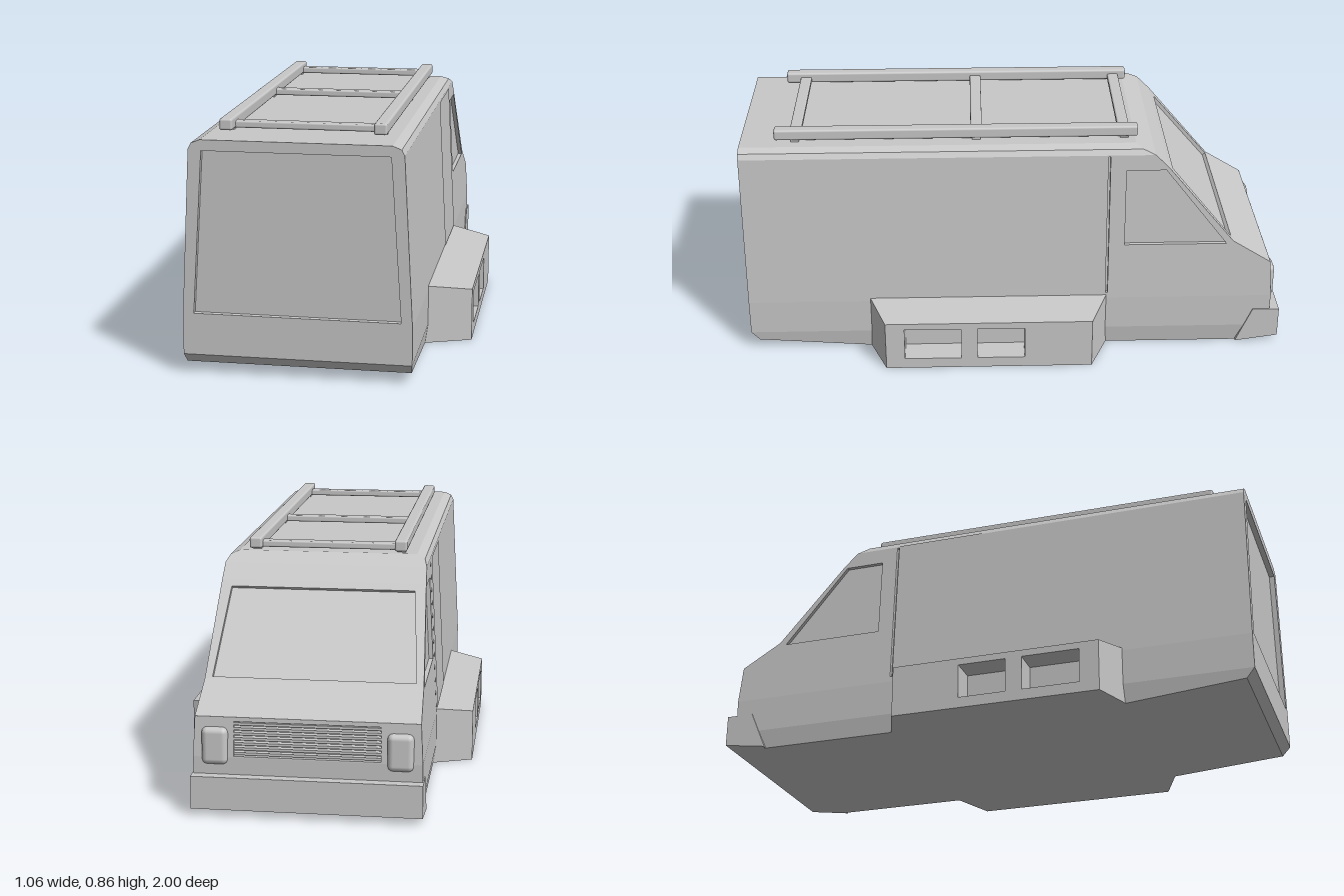
import * as THREE from 'three';
import { mergeGeometries } from 'three/addons/utils/BufferGeometryUtils.js';
import { RoundedBoxGeometry } from 'three/addons/geometries/RoundedBoxGeometry.js';

const V = (x, y, z) => new THREE.Vector3(x, y, z);

// Faceted surface from quads of corner vectors
function quads(list) {
  const pts = [];
  for (const [a, b, c, d] of list) pts.push(a, b, c, a, c, d);
  const g = new THREE.BufferGeometry().setFromPoints(pts);
  g.computeVertexNormals();
  return g;
}

// Flat outline mapped into space, with recessed holes (walls and floor)
function panel(outline, holes, depth, map) {
  const to2 = p => p.map(([u, v]) => new THREE.Vector2(u, v));
  const place = (shape, d) => {
    const g = new THREE.ShapeGeometry(shape).toNonIndexed();
    const p = g.attributes.position;
    for (let i = 0; i < p.count; i++) {
      const q = map(p.getX(i), p.getY(i), d);
      p.setXYZ(i, q.x, q.y, q.z);
    }
    g.deleteAttribute('uv');
    g.computeVertexNormals();
    return g;
  };
  const face = new THREE.Shape(to2(outline));
  const parts = [];
  for (const h of holes) {
    face.holes.push(new THREE.Path(to2(h)));
    parts.push(place(new THREE.Shape(to2(h)), depth));
    parts.push(quads(h.map((a, i) => {
      const b = h[(i + 1) % h.length];
      return [map(...a, 0), map(...b, 0), map(...b, depth), map(...a, depth)];
    })));
  }
  parts.push(place(face, 0));
  return mergeGeometries(parts);
}

const rect = (u0, v0, u1, v1) => [[u0, v0], [u1, v0], [u1, v1], [u0, v1]];

// Body walls lean inward above the belt line
const halfWidth = y => 0.39 - 0.03 * (y - 0.2) / 0.58;

// Stack of rectangular rings: [y, halfWidth, zNose, zTail]
function loft(rings) {
  const corners = ([y, w, a, b]) => [V(-w, y, b), V(w, y, b), V(w, y, a), V(-w, y, a)];
  const list = [];
  for (let i = 0; i < rings.length - 1; i++) {
    const p = corners(rings[i]), q = corners(rings[i + 1]);
    for (let k = 0; k < 4; k++) {
      const n = (k + 1) % 4;
      list.push([p[k], p[n], q[n], q[k]]);
    }
  }
  return list;
}

export function createModel() {
  const grey = new THREE.MeshStandardMaterial({ color: 0xc8c8c8, side: THREE.DoubleSide });
  grey.name = 'light grey';
  const model = new THREE.Group();
  model.name = 'van';
  const body = new THREE.Group();
  body.name = 'body';
  body.position.x = -0.01;
  model.add(body);
  const add = (name, geo, parent = body, x = 0, y = 0, z = 0) => {
    const m = new THREE.Mesh(geo, grey);
    m.name = name;
    m.position.set(x, y, z);
    parent.add(m);
    return m;
  };
  const box = (w, h, d, r) => new RoundedBoxGeometry(w, h, d, 2, r);

  // Lower hull with floor
  const lower = loft([[0, 0.38, -0.84, 0.55], [0.035, 0.385, -0.955, 0.97],
    [0.07, 0.39, -0.962, 1], [0.2, 0.39, -0.965, 1]]);
  lower.push([V(-0.38, 0, -0.84), V(0.38, 0, -0.84), V(0.38, 0, 0.55), V(-0.38, 0, 0.55)]);
  add('lowerHull', quads(lower));

  // Roof with bevelled shoulders
  const roof = loft([[0.78, 0.36, -0.51, 1], [0.8, 0.35, -0.465, 1], [0.812, 0.32, -0.44, 1]]);
  roof.push([V(-0.32, 0.812, 1), V(0.32, 0.812, 1), V(0.32, 0.812, -0.44), V(-0.32, 0.812, -0.44)]);
  add('roof', quads(roof));

  // Side walls with cab window, door panel
  const side = [[1, 0.2], [1, 0.78], [-0.51, 0.78], [-0.56, 0.73], [-0.81, 0.43], [-0.955, 0.34], [-0.965, 0.2]];
  const cabWindow = [[-0.405, 0.42], [-0.405, 0.72], [-0.55, 0.72], [-0.785, 0.42]];
  const seam = rect(-0.346, 0.22, -0.338, 0.775);
  for (const s of [1, -1]) {
    const onSide = (z, y, d) => V(s * (halfWidth(y) - d), y, z);
    add('sideWall', panel(side, [cabWindow, seam], 0.015, onSide));
    add('slidingDoor', panel(rect(-0.335, 0.215, 0, 0.78), [], 0, (z, y) => onSide(z, y, -0.004)));
  }

  // Rear wall with large recessed window
  add('rearWall', panel(
    [[-0.39, 0.2], [0.39, 0.2], [0.36, 0.78], [-0.36, 0.78]],
    [[[-0.352, 0.215], [0.352, 0.215], [0.316, 0.775], [-0.316, 0.775]]],
    0.02, (x, y, d) => V(x, y, 1 - d)));

  // Nose strips, from belt line up to the roof edge
  const across = (y0, z0, y1, z1) => {
    const a = halfWidth(y0), b = halfWidth(y1);
    return [V(-a, y0, z0), V(a, y0, z0), V(b, y1, z1), V(-b, y1, z1)];
  };
  add('hood', quads([across(0.34, -0.955, 0.43, -0.81), across(0.73, -0.56, 0.78, -0.51)]));

  // Sloping windshield
  add('windshield', panel(
    [[-halfWidth(0.43), 0.43], [halfWidth(0.43), 0.43], [halfWidth(0.73), 0.73], [-halfWidth(0.73), 0.73]],
    [[[-0.352, 0.437], [0.352, 0.437], [0.325, 0.708], [-0.325, 0.708]]],
    0.014, (x, y, d) => V(x, y - d * 0.64, -0.81 + (y - 0.43) * 0.25 / 0.3 + d * 0.77)));

  // Grille opening and slats
  add('grilleSurround', panel(
    [[-0.39, 0.2], [0.39, 0.2], [halfWidth(0.34), 0.34], [-halfWidth(0.34), 0.34]],
    [rect(-0.25, 0.205, 0.25, 0.325)],
    0.025, (x, y, d) => V(x, y, -0.965 + (y - 0.2) * 0.07 + d)));
  for (let i = 0; i < 7; i++) {
    add('grilleSlat', new THREE.BoxGeometry(0.5, 0.009, 0.022), body, 0, 0.213 + i * 0.0175, -0.948);
  }

  // Headlights
  for (const s of [1, -1]) add('headlight', box(0.09, 0.13, 0.05, 0.02), body, s * 0.315, 0.24, -0.955);

  // Front bumper: profile in (z, y) swept across the nose
  const profile = new THREE.Shape([[-0.84, 0.002], [-1, 0.025], [-1, 0.14], [-0.9, 0.14]]
    .map(([z, y]) => new THREE.Vector2(-z, y)));
  const bumper = new THREE.ExtrudeGeometry(profile, { depth: 0.788, bevelEnabled: false });
  bumper.translate(0, 0, -0.394).rotateY(Math.PI / 2);
  add('frontBumper', bumper);

  // Side pods with two deep openings each
  const openings = [rect(0.205, 0.04, 0.415, 0.165), rect(-0.03, 0.04, 0.145, 0.165)];
  for (const s of [1, -1]) {
    const pod = new THREE.Group();
    pod.name = s > 0 ? 'leftPod' : 'rightPod';
    model.add(pod);
    const X = 0.532, I = 0.37;
    add('podFace', panel(rect(-0.28, 0, 0.485, 0.19), openings, 0.1, (z, y, d) => V(s * (X - d), y, z)), pod);
    const o = [V(s * X, 0, -0.28), V(s * X, 0.19, -0.28), V(s * X, 0.19, 0.485), V(s * X, 0, 0.485)];
    const n = [V(s * I, 0, -0.345), V(s * I, 0.213, -0.345), V(s * I, 0.213, 0.548), V(s * I, 0, 0.548)];
    add('podShell', quads(o.map((p, i) => [p, o[(i + 1) % 4], n[(i + 1) % 4], n[i]])), pod);
  }

  // Roof rack: rails, crossbars and feet
  const rack = new THREE.Group();
  rack.name = 'roofRack';
  body.add(rack);
  for (const s of [1, -1]) add('rackRail', box(0.045, 0.04, 1.325, 0.008), rack, s * 0.262, 0.84, 0.2125);
  for (const z of [-0.4, 0.14, 0.8]) {
    add('rackCrossbar', box(0.5, 0.024, 0.042, 0.006), rack, 0, 0.832, z);
    for (const s of [1, -1]) add('rackFoot', new THREE.BoxGeometry(0.03, 0.02, 0.03), rack, s * 0.262, 0.816, z);
  }
  return model;
}
